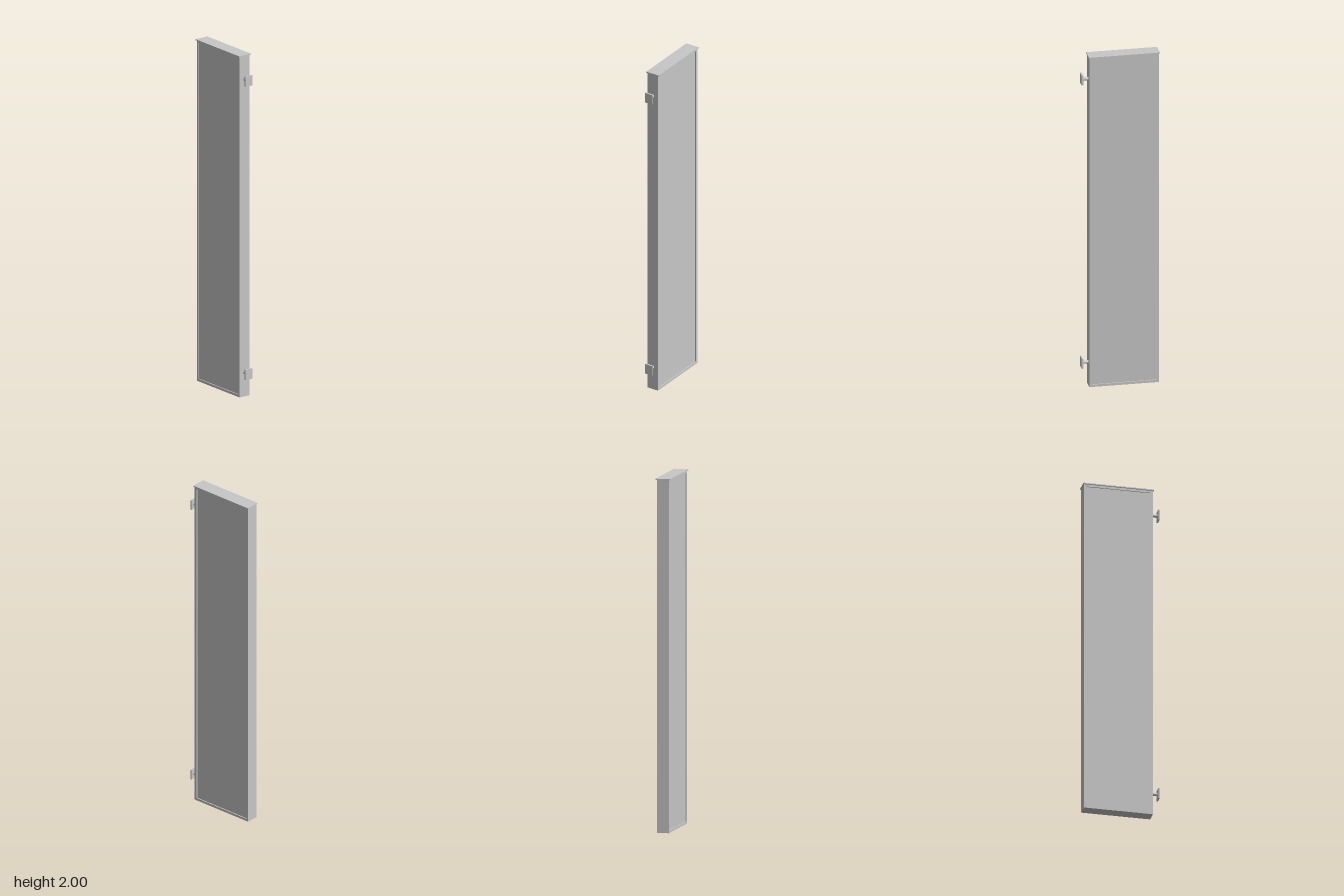
import * as THREE from 'three';

export function createModel() {
  const group = new THREE.Group();
  const grey = new THREE.MeshStandardMaterial({ color: 0xc7c7c7 });
  grey.name = 'light grey metal';

  const add = (name, geometry, x, y, z) => {
    const mesh = new THREE.Mesh(geometry, grey);
    mesh.name = name;
    mesh.position.set(x, y, z);
    group.add(mesh);
    return mesh;
  };

  const left = -0.218, right = 0.178, height = 1.995, depth = 0.07, rim = 0.014;
  const midX = (left + right) / 2, width = right - left;

  // Rectangular frame around the panel
  const rect = (Kind, x0, y0, x1, y1) => {
    const r = new Kind();
    r.moveTo(x0, y0);
    r.lineTo(x1, y0);
    r.lineTo(x1, y1);
    r.lineTo(x0, y1);
    r.closePath();
    return r;
  };
  const outline = rect(THREE.Shape, left, 0, right, height);
  outline.holes.push(rect(THREE.Path, left + rim, rim, right - rim, height - rim));
  add('frame', new THREE.ExtrudeGeometry(outline, { depth, bevelEnabled: false }), 0, 0, -depth / 2);

  // Panel, slightly recessed on both faces
  add('panel', new THREE.BoxGeometry(width - 2 * rim, height - 2 * rim, depth - 0.012), midX, height / 2, 0);

  // Thin overhanging cap
  add('topCap', new THREE.BoxGeometry(0.404, 0.006, 0.084), midX, 1.997, 0);

  // Wall mounts: a round pin ending in a small plate
  for (const [label, y] of [['lower', 0.14], ['upper', 1.857]]) {
    const pin = add(label + 'MountPin', new THREE.CylinderGeometry(0.009, 0.009, 0.036, 24), 0.195, y, 0);
    pin.rotation.z = Math.PI / 2;
    add(label + 'MountPlate', new THREE.BoxGeometry(0.009, 0.06, 0.048), 0.2155, y, 0);
  }

  return group;
}
